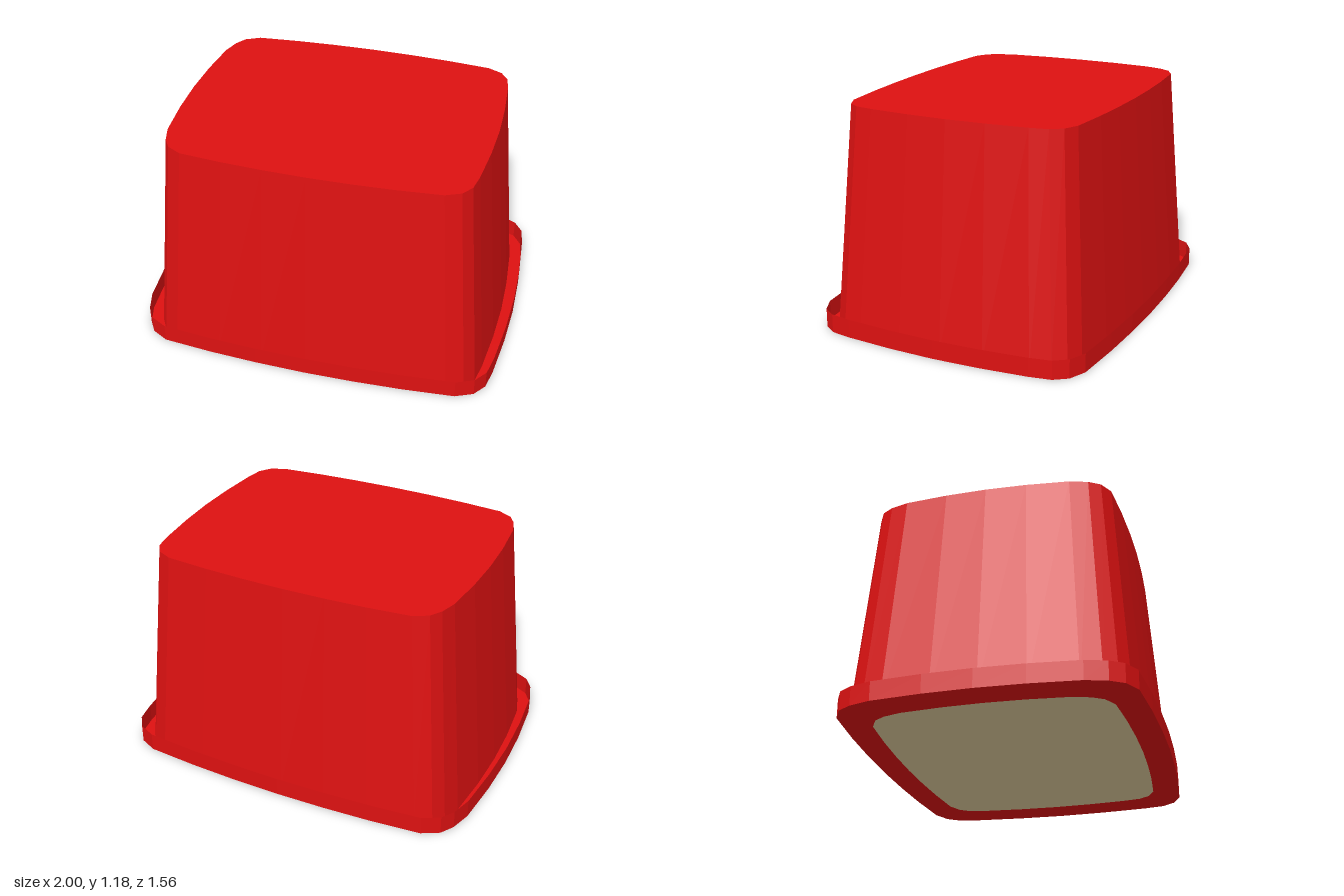
import * as THREE from 'three';

// Rounded-rectangle outline (x, z) at the rim; the back half mirrors the front half.
const half = [
  [1, 0], [0.992, 0.25], [0.97, 0.51], [0.95, 0.625], [0.9, 0.695], [0.807, 0.738], [0.53, 0.762], [0.27, 0.775],
  [0, 0.78], [-0.27, 0.775], [-0.53, 0.762], [-0.8, 0.738], [-0.89, 0.69], [-0.935, 0.62], [-0.968, 0.51], [-0.992, 0.25], [-1, 0],
];
const outline = [...half, ...half.slice(1, -1).reverse().map(([x, z]) => [x, -z])];

// Skin between scaled copies of the outline; each ring is [scaleX, scaleZ, y].
function loft(rings) {
  const pos = [], index = [], n = outline.length;
  for (const [sx, sz, y] of rings) for (const [x, z] of outline) pos.push(x * sx, y, z * sz);
  for (let r = 0; r < rings.length - 1; r++) {
    for (let i = 0; i < n; i++) {
      const a = r * n + i, b = r * n + (i + 1) % n;
      index.push(a, a + n, b, b, a + n, b + n);
    }
  }
  const geo = new THREE.BufferGeometry();
  geo.setAttribute('position', new THREE.Float32BufferAttribute(pos, 3));
  geo.setIndex(index);
  geo.computeVertexNormals();
  return geo;
}

export function createModel() {
  const group = new THREE.Group();
  const material = (color) => new THREE.MeshStandardMaterial({ color, flatShading: true, side: THREE.DoubleSide });
  const red = material(0xdd1111), beige = material(0xdfcc9c);
  const add = (name, rings, mat) => {
    const mesh = new THREE.Mesh(loft(rings), mat);
    mesh.name = name;
    group.add(mesh);
  };

  // Tapered body with a flat closed top
  add('body', [[0.935, 0.949, 0], [0.83, 0.844, 1.18]], red);
  add('top', [[0.83, 0.844, 1.18], [0, 0, 1.18]], red);

  // Thin upright lip around a flat flange
  add('rimWall', [[1, 1, 0], [1, 1, 0.1]], red);
  add('rimFlange', [[0.82, 0.82, 0], [1, 1, 0]], red);

  // Flush panel closing the underside
  add('bottomPanel', [[0, 0, 0], [0.82, 0.82, 0]], beige);
  return group;
}
